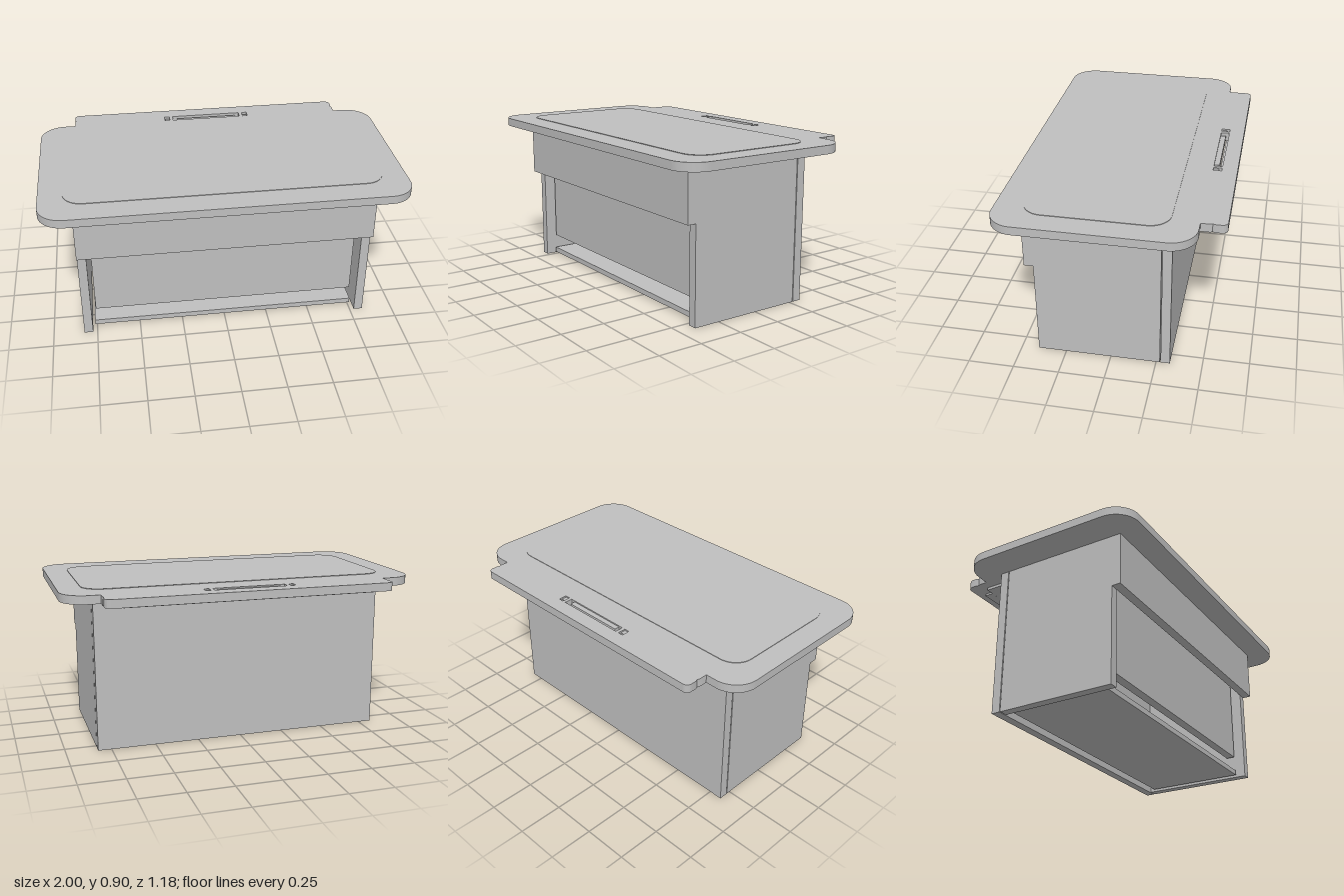
import * as THREE from 'three';
import { toCreasedNormals } from 'three/addons/utils/BufferGeometryUtils.js';

export function createModel() {
  const group = new THREE.Group();
  const grey = new THREE.MeshStandardMaterial({ color: 0xbfbfbf });
  grey.name = 'light grey';

  const add = (name, geometry) => {
    const mesh = new THREE.Mesh(geometry, grey);
    mesh.name = name;
    group.add(mesh);
  };

  // Box given by its limits on each axis
  const box = (name, x0, x1, y0, y1, z0, z1) => {
    const g = new THREE.BoxGeometry(x1 - x0, y1 - y0, z1 - z0);
    g.translate((x0 + x1) / 2, (y0 + y1) / 2, (z0 + z1) / 2);
    add(name, g);
  };

  // Plan outline (shape y = -z) raised from y0 to y1
  const slab = (name, shape, y0, y1) => {
    const g = new THREE.ExtrudeGeometry(shape, { depth: y1 - y0, bevelEnabled: false, curveSegments: 12 });
    g.rotateX(-Math.PI / 2).translate(0, y0, 0);
    add(name, toCreasedNormals(g, 0.6));
  };

  // Rounded rectangle, symmetric in x, between two z limits
  const roundedPlan = (hx, zBack, zFront, r) => {
    const s = new THREE.Shape();
    const a = -zFront, b = -zBack, q = Math.PI / 2;
    s.absarc(hx - r, a + r, r, -q, 0);
    s.absarc(hx - r, b - r, r, 0, q);
    s.absarc(-hx + r, b - r, r, q, 2 * q);
    s.absarc(-hx + r, a + r, r, 2 * q, 3 * q);
    s.closePath();
    return s;
  };

  const rectHole = (x0, x1, z0, z1) => {
    const p = new THREE.Path();
    p.moveTo(x0, -z1).lineTo(x0, -z0).lineTo(x1, -z0).lineTo(x1, -z1).closePath();
    return p;
  };

  // Table top with a slightly raised centre panel
  slab('tableTop', roundedPlan(1, -0.455, 0.59, 0.14), 0.85, 0.897);
  slab('topPanel', roundedPlan(0.87, -0.31, 0.445, 0.11), 0.897, 0.9);

  // Rear ledge with pinched ends and slots for the pull
  const ledge = new THREE.Shape();
  ledge.moveTo(-0.8, 0.455).lineTo(0.8, 0.455);
  ledge.lineTo(0.8, 0.505).lineTo(0.795, 0.515).lineTo(0.8, 0.53).lineTo(0.8, 0.56);
  ledge.absarc(0.77, 0.56, 0.03, 0, Math.PI / 2);
  ledge.absarc(-0.77, 0.56, 0.03, Math.PI / 2, Math.PI);
  ledge.lineTo(-0.8, 0.53).lineTo(-0.795, 0.515).lineTo(-0.8, 0.505).closePath();
  ledge.holes.push(rectHole(-0.205, 0.205, -0.505, -0.458));
  for (const s of [-1, 1]) {
    ledge.holes.push(rectHole(s * 0.24 - 0.015, s * 0.24 + 0.015, -0.505, -0.458));
    box('pullStop', s * 0.24 - 0.013, s * 0.24 + 0.013, 0.85, 0.89, -0.488, -0.458);
  }
  slab('rearLedge', ledge, 0.85, 0.897);
  box('pullBar', -0.18, 0.18, 0.85, 0.89, -0.487, -0.458);

  // Rails beneath the ledge
  box('innerRail', -0.75, 0.75, 0.834, 0.85, -0.485, -0.325);
  box('outerRail', -0.7, 0.7, 0.838, 0.85, -0.54, -0.49);

  // Cabinet: sides, back, apron, recessed front and floor
  for (const s of [-1, 1]) {
    const x = s * 0.8;
    box('sidePanel', x - 0.025, x + 0.025, 0, 0.85, -0.27, 0.405);
  }
  box('backPanel', -0.825, 0.825, 0, 0.85, -0.325, -0.275);
  box('apron', -0.825, 0.825, 0.55, 0.85, 0.405, 0.455);
  box('frontPanel', -0.75, 0.75, 0.125, 0.85, 0.3, 0.35);
  box('floorPanel', -0.76, 0.76, 0.01, 0.04, -0.235, 0.35);

  return group;
}
